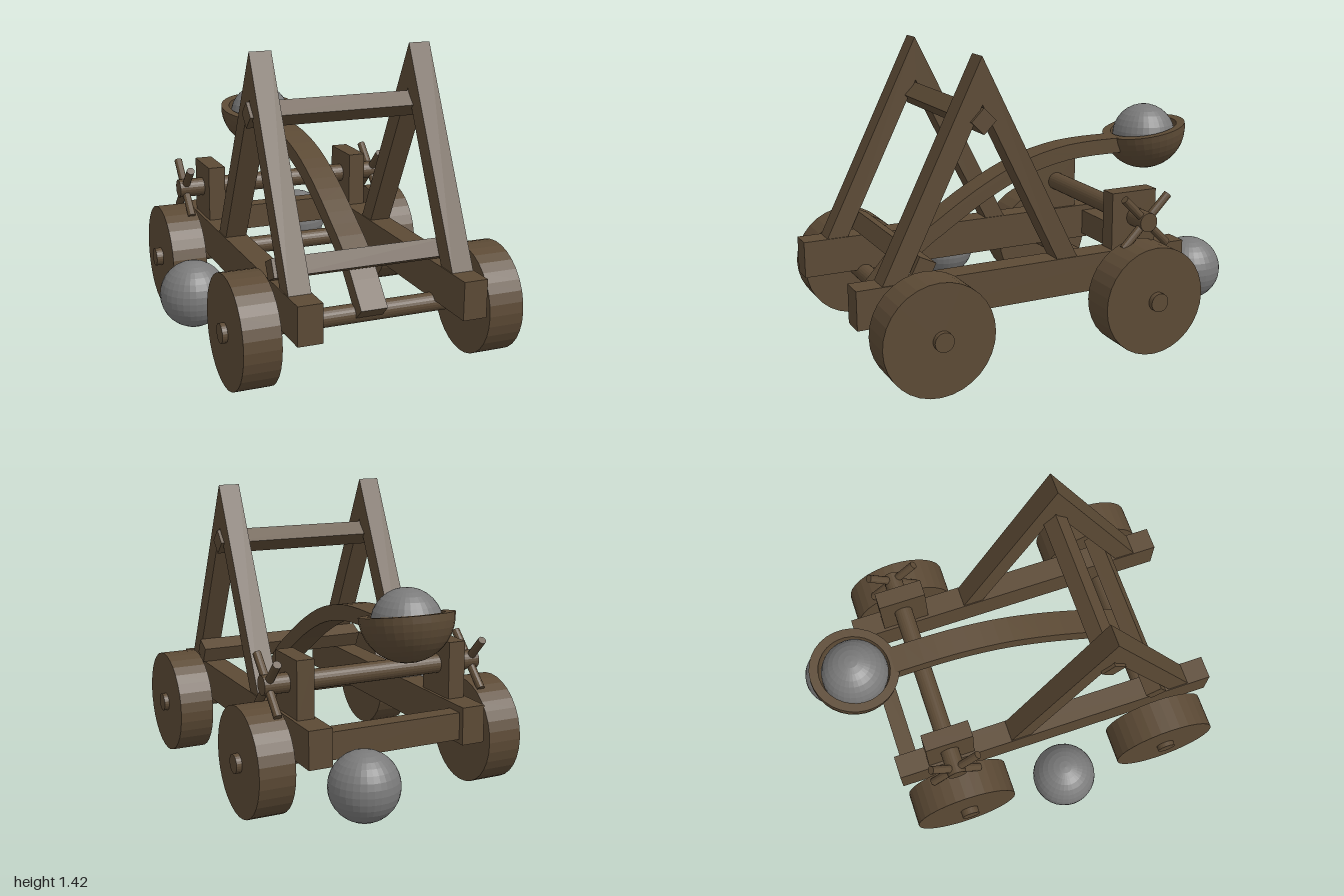
import * as THREE from 'three';

const wood = new THREE.MeshStandardMaterial({ color: 0x5c4a35, flatShading: true });
const stone = new THREE.MeshStandardMaterial({ color: 0x7a7a7a, flatShading: true });
const MID = 0.055; // centre line of the frame

export function createModel() {
  const model = new THREE.Group();
  const add = (name, geometry, x, y, z, material = wood) => {
    const mesh = new THREE.Mesh(geometry, material);
    mesh.name = name;
    mesh.position.set(x, y, z);
    model.add(mesh);
    return mesh;
  };
  const box = (name, w, h, d, x, y, z) => add(name, new THREE.BoxGeometry(w, h, d), x, y, z);
  // Round bar lying along x
  const rod = (name, r, x0, x1, y, z, sides = 24) =>
    add(name, new THREE.CylinderGeometry(r, r, x1 - x0, sides).rotateZ(Math.PI / 2), (x0 + x1) / 2, y, z);
  // Side outline given as [z, y], extruded across x
  const sideSlab = (name, outline, width, x) => {
    const shape = new THREE.Shape(outline.map(([z, y]) => new THREE.Vector2(z, y)));
    const geometry = new THREE.ExtrudeGeometry(shape, { depth: width, bevelEnabled: false });
    geometry.translate(0, 0, -width / 2).rotateY(-Math.PI / 2);
    return add(name, geometry, x, 0, 0);
  };

  // Axles and wheels
  rod('frontAxle', 0.045, -0.635, 0.74, 0.26, 0.695);
  rod('rearAxle', 0.045, -0.645, 0.745, 0.26, -0.385);
  const wheels = [
    ['frontLeftWheel', 0.63, 0.705], ['frontRightWheel', -0.525, 0.69],
    ['rearLeftWheel', 0.633, -0.375], ['rearRightWheel', -0.525, -0.395],
  ];
  for (const [name, x, z] of wheels) rod(name, 0.26, x - 0.086, x + 0.086, 0.26, z, 32);

  // Rails, A-frames, windlass posts and crossed handles on both sides
  for (const [side, s] of [['left', 1], ['right', -1]]) {
    const x = MID + s * 0.39;
    box(side + 'Rail', 0.115, 0.18, 1.67, x, 0.37, 0.165);
    sideSlab(side + 'AFrame', [
      [0.4, 1.425], [-0.09, 0.44], [0.015, 0.44], [0.4, 1.214], [0.785, 0.44], [0.89, 0.44],
    ], 0.105, x);
    box(side + 'WindlassPost', 0.085, 0.285, 0.24, x, 0.5925, -0.395);
    for (const tilt of [1, -1]) {
      const handle = add(side + 'WindlassHandle', new THREE.CylinderGeometry(0.02, 0.02, 0.336, 12),
        MID + s * 0.526, 0.61, -0.4);
      handle.rotation.x = tilt * Math.PI / 4;
    }
  }

  // Cross members
  box('rearCrossbeam', 0.68, 0.13, 0.085, MID, 0.365, -0.598);
  box('topCrossbar', 0.915, 0.084, 0.084, MID, 1.143, 0.4).rotation.x = Math.PI / 4;
  box('lowerCrossbar', 0.915, 0.086, 0.086, MID, 0.518, 0.692).rotation.x = -0.464;
  rod('windlass', 0.046, -0.505, 0.61, 0.61, -0.4);

  // Curved throwing arm
  const path = new THREE.CatmullRomCurve3([
    [0.768, 0.28], [0.574, 0.485], [0.434, 0.58], [0.22, 0.71], [0.005, 0.808],
    [-0.21, 0.86], [-0.37, 0.872], [-0.54, 0.872],
  ].map(([z, y]) => new THREE.Vector3(0, y, z)));
  const top = [], bottom = [];
  for (let i = 0; i <= 20; i++) {
    const p = path.getPointAt(i / 20), t = path.getTangentAt(i / 20);
    const h = 0.038;
    top.push([p.z + t.y * h, p.y - t.z * h]);
    bottom.unshift([p.z - t.y * h, p.y + t.z * h]);
  }
  sideSlab('throwingArm', [...top, ...bottom], 0.13, MID);

  // Hollow cup, tilted slightly forward
  const profile = [];
  const arc = (r, from, to) => {
    for (let i = 0; i <= 10; i++) {
      const a = (from + (to - from) * i / 10) * Math.PI / 2;
      profile.push(new THREE.Vector2(r * Math.sin(a), -r * Math.cos(a)));
    }
  };
  arc(0.213, 0, 1);
  arc(0.17, 1, 0);
  add('cup', new THREE.LatheGeometry(profile, 32), MID, 0.942, -0.718).rotation.x = 0.175;

  // Stone balls
  const balls = [
    ['loadedBall', 0.055, 0.9, -0.72], ['sideBall', -0.59, 0.24, 0.14], ['rearBall', 0.32, 0.24, -0.84],
  ];
  for (const [name, x, y, z] of balls) add(name, new THREE.SphereGeometry(0.16, 32, 16), x, y, z, stone);

  return model;
}
